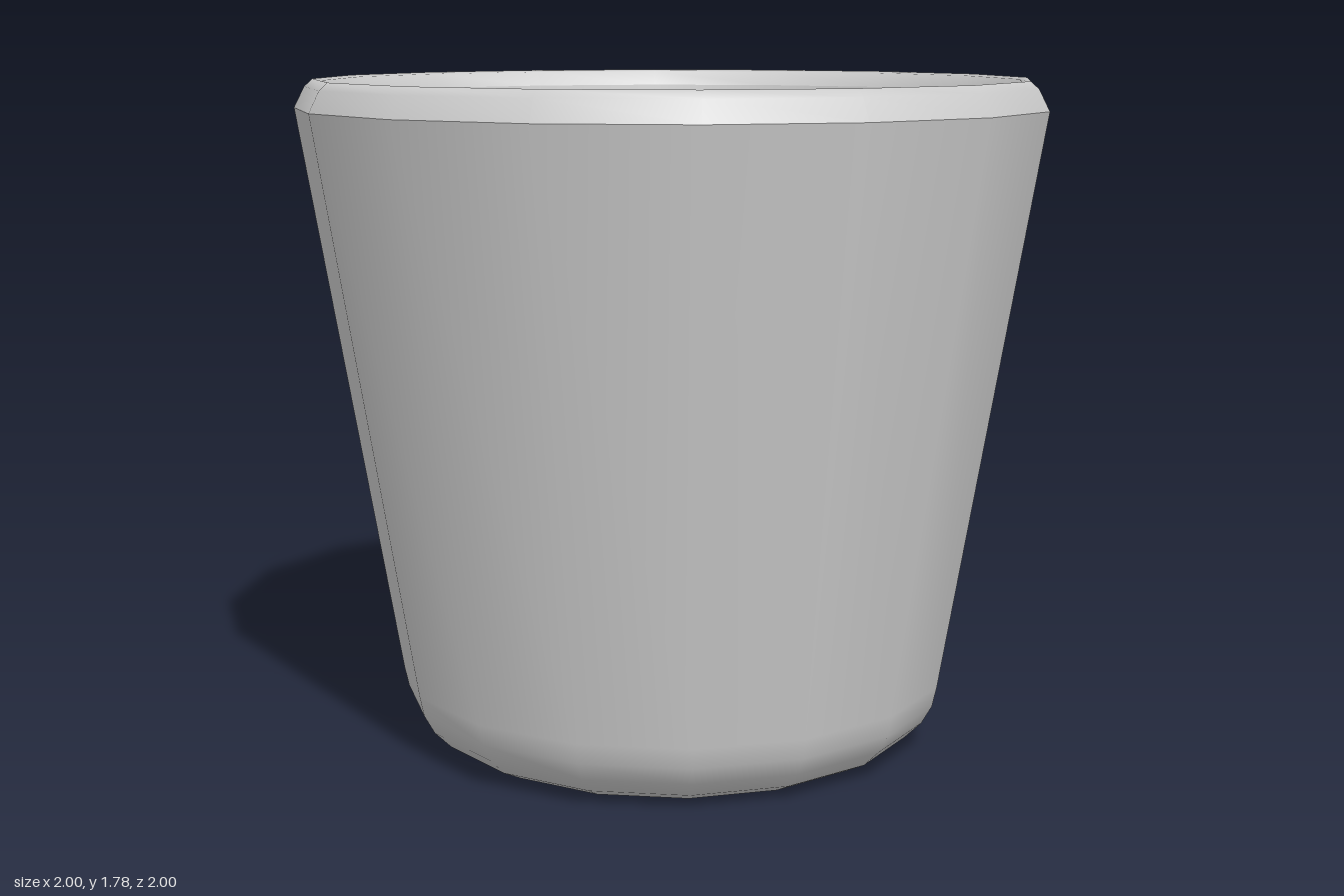
import * as THREE from 'three';

const SIDES = 16;

// Each surface is its own lathe, so shading is smooth within it and sharp between surfaces
function turned(name, profile, material) {
  const points = profile.map(([r, y]) => new THREE.Vector2(r, y));
  const mesh = new THREE.Mesh(new THREE.LatheGeometry(points, SIDES), material);
  mesh.name = name;
  return mesh;
}

export function createModel() {
  const group = new THREE.Group();
  group.name = 'cup';
  const material = new THREE.MeshStandardMaterial({ color: 0xcccccc });

  const surfaces = {
    // flat underside
    base: [[0, 0], [0.6, 0]],
    // rounded foot running into the tapered wall
    outerWall: [[0.6, 0], [0.66, 0.03], [0.705, 0.075], [0.733, 0.125], [0.745, 0.18], [1, 1.71]],
    // bevelled lip
    rim: [[1, 1.71], [0.972, 1.765], [0.95, 1.785], [0.93, 1.78], [0.91, 1.74]],
    innerWall: [[0.91, 1.74], [0.62, 0.1]],
    // inside floor with a faint raised ring
    floor: [[0.62, 0.1], [0.42, 0.1], [0.3, 0.106], [0.17, 0.113], [0.08, 0.111], [0, 0.108]],
  };
  for (const [name, profile] of Object.entries(surfaces)) {
    group.add(turned(name, profile, material));
  }
  return group;
}
